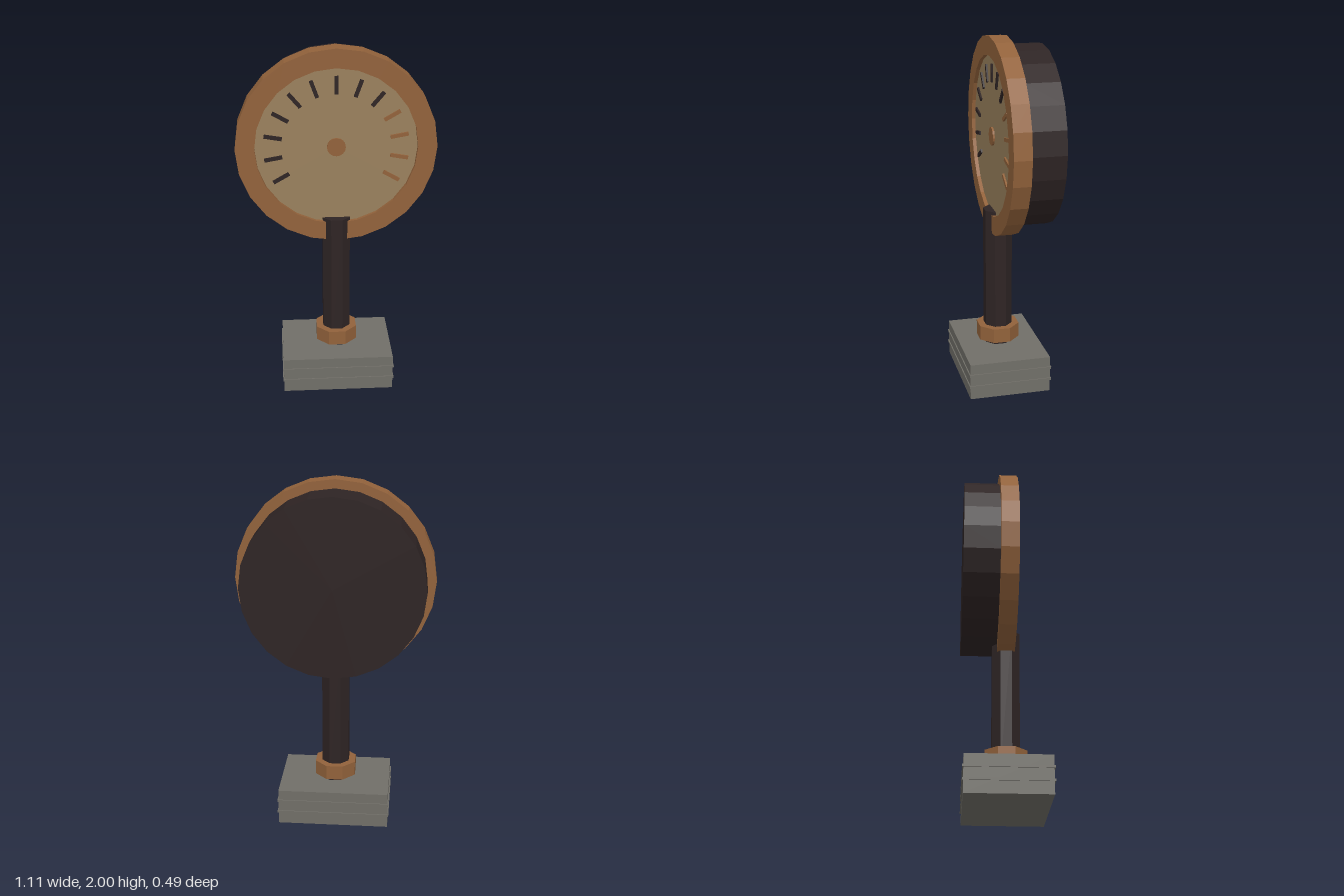
import * as THREE from 'three';

const mat = (name, color) => Object.assign(new THREE.MeshStandardMaterial({ color, flatShading: true }), { name });

export function createModel() {
  const dark = mat('dark iron', 0x2e2424);
  const copper = mat('copper', 0x92623b);
  const stone = mat('grey stone', 0x716f68);
  const cream = mat('dial tan', 0x9a815d);

  const model = new THREE.Group();
  model.name = 'gaugeOnStand';
  const add = (parent, name, geometry, material, x = 0, y = 0, z = 0) => {
    const mesh = new THREE.Mesh(geometry, material);
    mesh.name = name;
    mesh.position.set(x, y, z);
    parent.add(mesh);
    return mesh;
  };
  const AXIS = 0.008; // z of the stand's centre line

  // Stand: block with two thin ribs, octagonal post and collar
  add(model, 'base', new THREE.BoxGeometry(0.634, 0.21, 0.464), stone, 0, 0.105, AXIS);
  for (const y of [0.075, 0.145]) {
    add(model, 'baseRib', new THREE.BoxGeometry(0.646, 0.013, 0.476), stone, 0, y, AXIS);
  }
  const octagon = (apothem, height) => {
    const r = apothem / Math.cos(Math.PI / 8);
    return new THREE.CylinderGeometry(r, r, height, 8).rotateY(Math.PI / 8);
  };
  add(model, 'post', octagon(0.077, 0.82), dark, 0, 0.61, AXIS);
  add(model, 'collar', octagon(0.115, 0.085), copper, 0, 0.278, AXIS);

  // Gauge head, facing +z
  const head = new THREE.Group();
  head.name = 'gaugeHead';
  head.position.y = 1.443;
  model.add(head);
  const disc = (r, back, front, sides) =>
    new THREE.CylinderGeometry(r, r, front - back, sides)
      .rotateX(Math.PI / 2).translate(0, 0, (front + back) / 2);

  add(head, 'housing', disc(0.507, -0.245, -0.044, 24), dark);

  const circle = (Kind, r, sides) => new Kind(Array.from({ length: sides }, (_, i) => {
    const a = (i / sides) * Math.PI * 2;
    return new THREE.Vector2(Math.cos(a) * r, Math.sin(a) * r);
  }));
  const rim = circle(THREE.Shape, 0.557, 24);
  rim.holes.push(circle(THREE.Path, 0.45, 24));
  add(head, 'bezel', new THREE.ExtrudeGeometry(rim, { depth: 0.1, bevelEnabled: false }), copper, 0, 0, -0.044);
  add(head, 'dial', disc(0.452, -0.043, 0.035, 24), cream);
  add(head, 'hub', disc(0.052, 0.03, 0.046, 16), copper);

  // Thirteen scale marks, the last four in copper
  for (let i = -6; i <= 6; i++) {
    const a = (i * Math.PI) / 9;
    const tick = add(head, i > 2 ? 'copperMark' : 'darkMark', new THREE.BoxGeometry(0.021, 0.1, 0.014),
      i > 2 ? copper : dark, Math.sin(a) * 0.353, Math.cos(a) * 0.353, 0.038);
    tick.rotation.z = -a;
  }
  return model;
}
